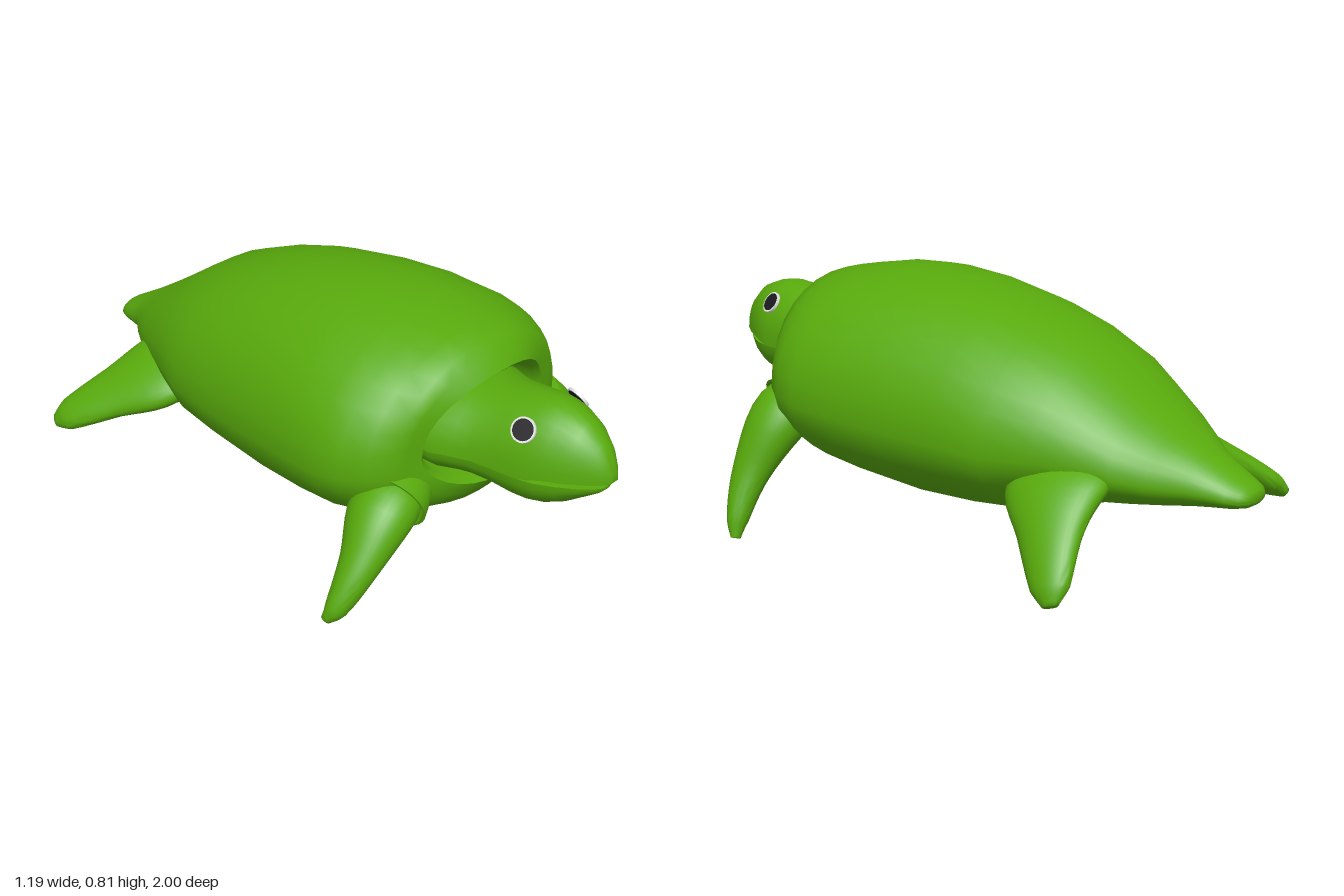
import * as THREE from 'three';
import { toCreasedNormals } from 'three/addons/utils/BufferGeometryUtils.js';

const V = (x, y, z) => new THREE.Vector3(x, y, z);
const SEG = 32;

// Skin a list of rings; caps close both ends
function loft(rings, caps = true, crease = 0.75) {
  const n = rings[0].length, pos = [], idx = [];
  rings.forEach(r => r.forEach(p => pos.push(p.x, p.y, p.z)));
  for (let i = 0; i < rings.length - 1; i++) {
    for (let j = 0; j < n; j++) {
      const a = i * n + j, b = i * n + (j + 1) % n;
      idx.push(a, a + n, b, b, a + n, b + n);
    }
  }
  if (caps) {
    [0, rings.length - 1].forEach(k => {
      const c = V(0, 0, 0);
      rings[k].forEach(p => c.addScaledVector(p, 1 / n));
      const id = pos.length / 3;
      pos.push(c.x, c.y, c.z);
      for (let j = 0; j < n; j++) {
        const a = k * n + j, b = k * n + (j + 1) % n;
        idx.push(id, ...(k === 0 ? [a, b] : [b, a]));
      }
    });
  }
  const g = new THREE.BufferGeometry();
  g.setAttribute('position', new THREE.Float32BufferAttribute(pos, 3));
  g.setIndex(idx);
  return toCreasedNormals(g, crease);
}

const ringOf = fn => Array.from({ length: SEG }, (_, j) => fn(j / SEG * Math.PI * 2));
const pw = (v, e) => Math.sign(v) * Math.pow(Math.abs(v), e);

export function createModel() {
  const group = new THREE.Group();
  const green = new THREE.MeshStandardMaterial({ color: 0x58aa0c });
  green.name = 'turtle green';
  green.side = THREE.DoubleSide;
  const black = new THREE.MeshStandardMaterial({ color: 0x1a1a20 });
  black.name = 'eye black';
  const white = new THREE.MeshStandardMaterial({ color: 0xe4e4e4 });
  white.name = 'eye rim white';
  const add = (name, geo, mat, parent = group) => {
    const m = new THREE.Mesh(geo, mat);
    m.name = name;
    parent.add(m);
    return m;
  };

  // Shell and tail: z, top, bottom, half width, x offset, rim bow
  const shell = [
    [0.45, 0.66, 0.37, 0.22, 0, 0.04],
    [0.585, 0.675, 0.36, 0.238, 0, 0.06],
    [0.603, 0.692, 0.343, 0.258, 0, 0.06],
    [0.575, 0.73, 0.30, 0.305, 0, 0.045],
    [0.54, 0.76, 0.262, 0.345, 0, 0.02],
    [0.47, 0.778, 0.222, 0.4, 0, 0],
    [0.4, 0.79, 0.196, 0.445, 0, 0],
    [0.32, 0.805, 0.168, 0.46, 0, 0],
    [0.18, 0.814, 0.148, 0.455, 0, 0],
    [0, 0.802, 0.135, 0.437, 0, 0],
    [-0.2, 0.766, 0.145, 0.415, 0, 0],
    [-0.36, 0.717, 0.165, 0.39, 0, 0],
    [-0.5, 0.66, 0.212, 0.335, 0, 0],
    [-0.6, 0.595, 0.24, 0.29, 0, 0],
    [-0.7, 0.527, 0.256, 0.243, 0, 0],
    [-0.78, 0.474, 0.267, 0.188, -0.004, 0],
    [-0.85, 0.43, 0.275, 0.128, -0.012, 0],
    [-0.9, 0.4, 0.28, 0.104, -0.02, 0],
    [-0.95, 0.372, 0.285, 0.085, -0.026, 0],
    [-0.98, 0.355, 0.292, 0.068, -0.03, 0],
    [-0.996, 0.343, 0.302, 0.045, -0.03, 0],
    [-1, 0.334, 0.312, 0.02, -0.03, 0],
  ];
  add('shellAndTail', loft(shell.map(([z, top, bot, w, x0, bow]) => {
    const mid = bot + 0.42 * (top - bot);
    return ringOf(a => {
      const c = Math.cos(a), s = Math.sin(a), e = s > 0 ? 0.95 : 1.08;
      return V(x0 + w * pw(c, e), mid + (s > 0 ? top - mid : mid - bot) * pw(s, e), z - bow * c * c);
    });
  })), green);

  // Head and jaw: half sections with a flat mouth face; z, extreme y, half width, mouth y
  const half = (rows, up) => loft(rows.map(([z, y, w, flat]) => ringOf(a => {
    const s = Math.sin(a), curved = up ? s >= 0 : s <= 0;
    return V(w * Math.cos(a), curved ? flat + (y - flat) * Math.abs(s) : flat, z);
  })), true, 0.9);
  add('upperHead', half([
    [1, 0.535, 0.018, 0.508], [0.985, 0.572, 0.038, 0.508], [0.96, 0.612, 0.062, 0.507],
    [0.91, 0.655, 0.097, 0.505], [0.85, 0.677, 0.127, 0.502], [0.81, 0.684, 0.141, 0.492],
    [0.78, 0.685, 0.148, 0.487], [0.7, 0.675, 0.158, 0.487], [0.64, 0.664, 0.168, 0.487],
    [0.58, 0.658, 0.19, 0.487], [0.53, 0.656, 0.215, 0.487], [0.44, 0.65, 0.22, 0.487],
  ], true), green);
  add('lowerJaw', half([
    [0.98, 0.478, 0.018, 0.487], [0.965, 0.462, 0.04, 0.487], [0.93, 0.438, 0.072, 0.487],
    [0.88, 0.403, 0.107, 0.487], [0.83, 0.38, 0.133, 0.487], [0.79, 0.371, 0.146, 0.488],
    [0.74, 0.37, 0.153, 0.488], [0.68, 0.38, 0.16, 0.488], [0.62, 0.386, 0.173, 0.488],
    [0.58, 0.386, 0.19, 0.488], [0.53, 0.38, 0.215, 0.488], [0.44, 0.38, 0.22, 0.488],
  ], false), green);

  // Eyes: thin dark discs with a pale rim
  [1, -1].forEach(s => {
    const eye = new THREE.Group();
    eye.name = s > 0 ? 'leftEye' : 'rightEye';
    eye.position.set(s * 0.118, 0.627, 0.778);
    eye.lookAt(s * 0.918, 1.157, 0.938);
    const disc = (name, r, h, mat) => {
      const g = new THREE.CylinderGeometry(r, r, h, 24);
      g.rotateX(Math.PI / 2);
      add(name, g, mat, eye);
    };
    disc('eyeRim', 0.036, 0.008, white);
    disc('pupil', 0.0305, 0.0098, black);
    group.add(eye);
  });

  // Flippers: path points and [breadth, thickness] at each one
  function flipper(name, pts, radii, lipEnd, lipSize) {
    const path = new THREE.CatmullRomCurve3(pts.map(p => V(...p)));
    const size = new THREE.CatmullRomCurve3(radii.map(r => V(r[0], r[1], 0)));
    const ring = (t, grow) => {
      const p = path.getPoint(t), d = path.getTangent(t), r = size.getPoint(t);
      const w = V(0, 0, 1).addScaledVector(d, -d.z).normalize();
      const n = w.clone().cross(d);
      return ringOf(a => p.clone().addScaledVector(w, grow * r.x * Math.cos(a))
        .addScaledVector(n, grow * r.y * Math.sin(a)));
    };
    const steps = Array.from({ length: 21 }, (_, i) => i / 20);
    add(name, loft(steps.map(t => ring(t, 1)), true, 1.2), green);
    // Low socket lip around the root
    add(name + 'Socket', loft([[0, lipSize], [lipEnd * 0.6, lipSize], [lipEnd, lipSize - 0.03],
      [lipEnd, lipSize - 0.1], [0, lipSize - 0.12]].map(([t, g]) => ring(t, g)), false), green);
  }
  const frontSize = [[0.075, 0.065], [0.102, 0.085], [0.063, 0.055], [0.033, 0.034], [0.014, 0.016]];
  const backSize = [[0.13, 0.05], [0.155, 0.065], [0.1, 0.05], [0.058, 0.034], [0.024, 0.014]];
  flipper('frontLeftFlipper', [[0.26, 0.42, 0.43], [0.37, 0.375, 0.447], [0.485, 0.2, 0.48],
    [0.555, 0.065, 0.47], [0.576, 0.014, 0.458]], frontSize, 0.2, 1.18);
  flipper('frontRightFlipper', [[-0.24, 0.375, 0.46], [-0.345, 0.345, 0.485], [-0.47, 0.235, 0.515],
    [-0.56, 0.125, 0.51], [-0.585, 0.092, 0.495]], frontSize, 0.2, 1.22);
  flipper('backLeftFlipper', [[0.16, 0.37, -0.52], [0.27, 0.33, -0.55], [0.38, 0.24, -0.615],
    [0.468, 0.125, -0.685], [0.492, 0.088, -0.705]], backSize, 0.24, 1.14);
  flipper('backRightFlipper', [[-0.16, 0.37, -0.52], [-0.27, 0.335, -0.555], [-0.4, 0.265, -0.65],
    [-0.51, 0.185, -0.755], [-0.537, 0.158, -0.79]], backSize, 0.24, 1.14);

  return group;
}
